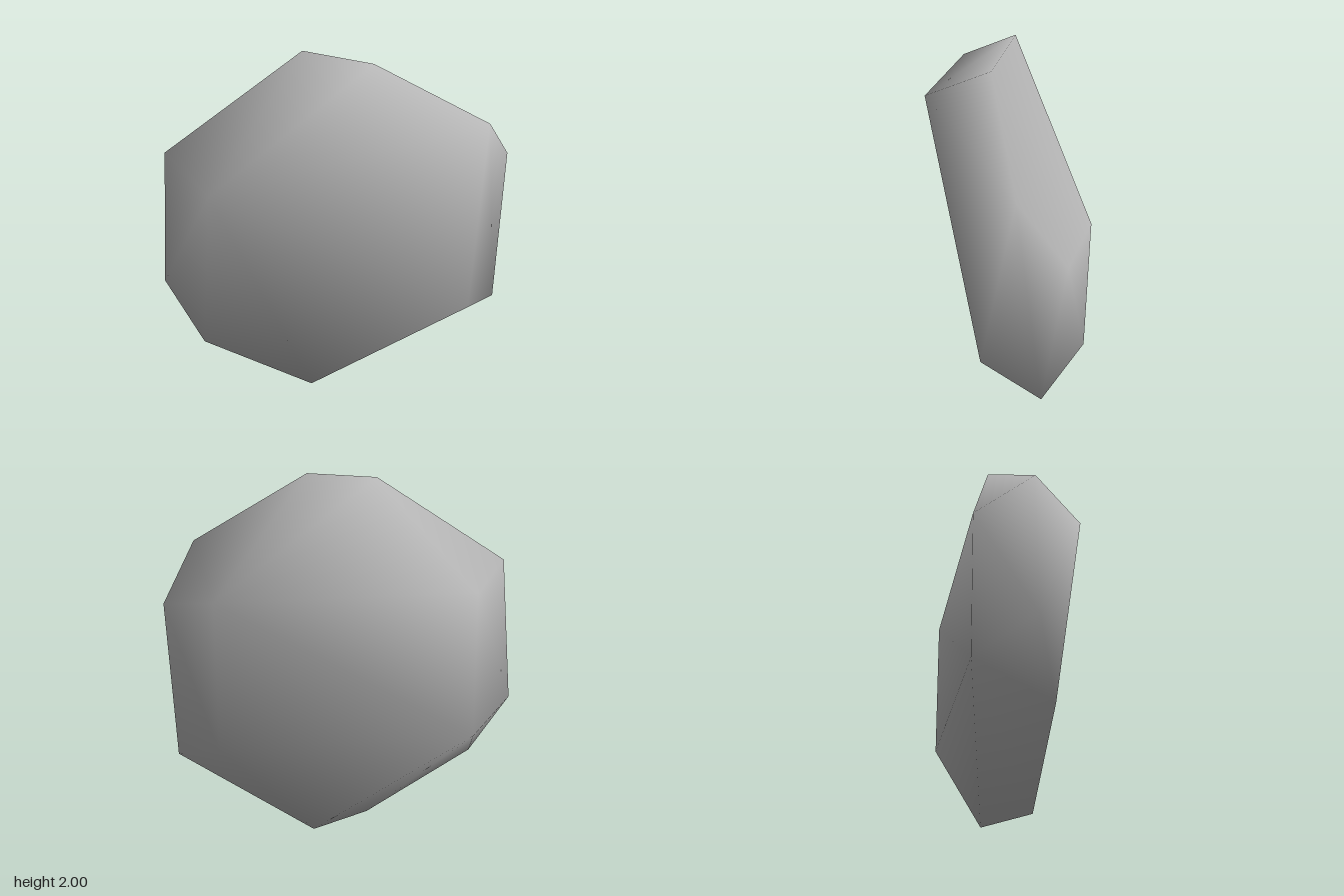
import * as THREE from 'three';
import { ConvexGeometry } from 'three/addons/geometries/ConvexGeometry.js';
import { mergeVertices } from 'three/addons/utils/BufferGeometryUtils.js';

export function createModel() {
  const group = new THREE.Group();
  group.name = 'rock';

  const stone = new THREE.MeshStandardMaterial({ color: 0xb8b8b8 });
  stone.name = 'stone grey';

  // Zigzag rim, clockwise from the top
  const rim = [
    [-0.16, 2.0, -0.12], [0.18, 2.0, 0.09],
    [0.79, 1.65, 0.12], [0.96, 1.36, -0.09],
    [0.92, 0.475, 0.01],
    [0.18, 0.01, -0.09], [-0.16, 0.0, 0.12],
    [-0.765, 0.36, 0.11], [-0.96, 0.72, 0.0],
    [-0.895, 1.52, 0.0],
  ];

  // Two peaks on the front, a four-cornered plateau on the back
  const front = [[-0.68, 1.4, 0.28], [0.705, 0.6, 0.28]];
  const back = [];
  for (const x of [-0.68, 0.705]) for (const y of [0.6, 1.4]) back.push([x, y, -0.28]);

  const points = [...rim, ...front, ...back].map((p) => new THREE.Vector3(...p));

  // Closed faceted shell with shared corners
  let geometry = new ConvexGeometry(points);
  geometry.deleteAttribute('normal');
  geometry = mergeVertices(geometry);

  // Rounded normals, as on a flattened pebble around the centre
  const position = geometry.attributes.position;
  const normals = [];
  const n = new THREE.Vector3();
  for (let i = 0; i < position.count; i++) {
    n.fromBufferAttribute(position, i);
    n.set(n.x, n.y - 1, n.z * 2.5).normalize();
    normals.push(n.x, n.y, n.z);
  }
  geometry.setAttribute('normal', new THREE.Float32BufferAttribute(normals, 3));

  const mesh = new THREE.Mesh(geometry, stone);
  mesh.name = 'stoneBody';
  group.add(mesh);
  return group;
}
